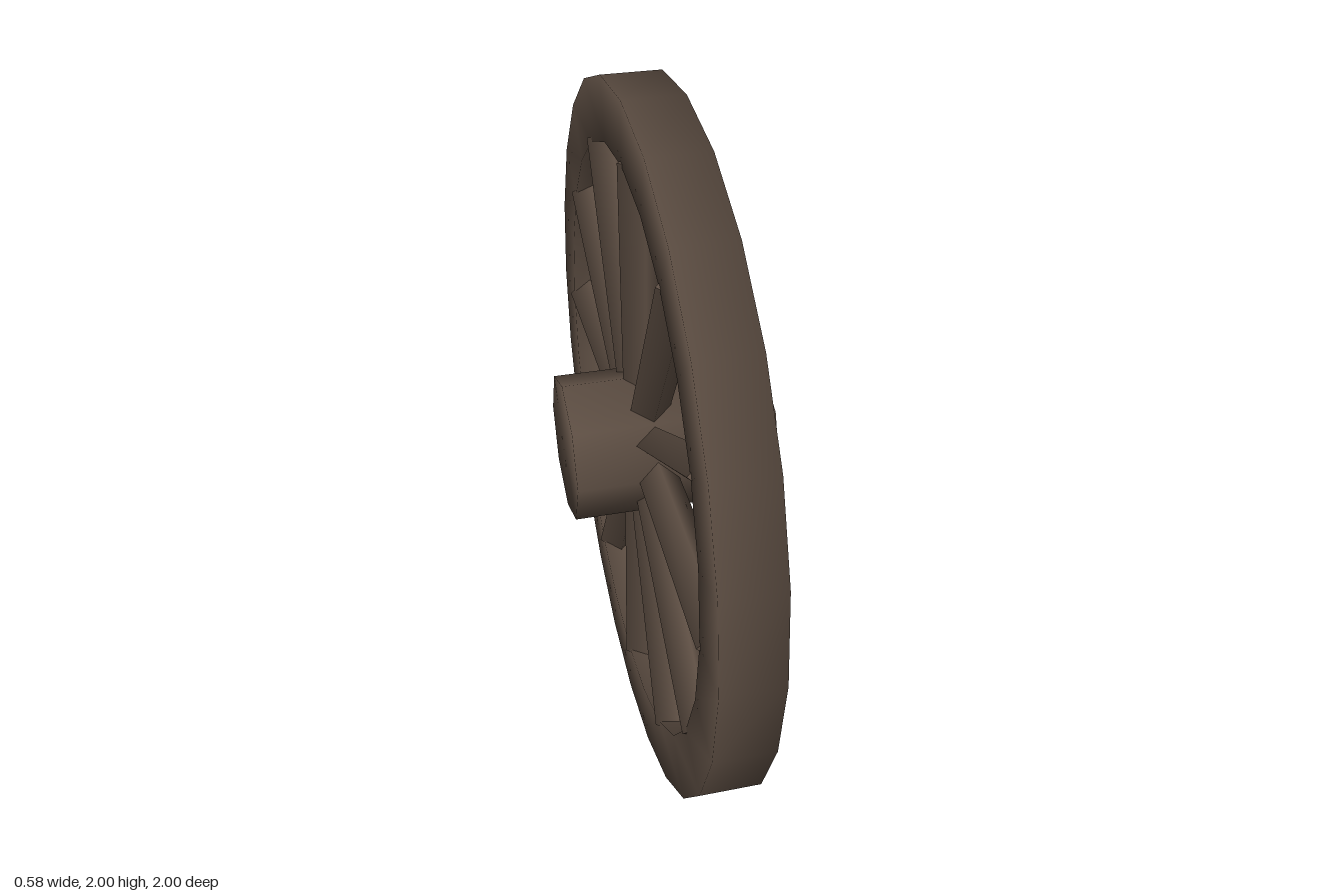
import * as THREE from 'three';

const wood = new THREE.MeshStandardMaterial({ color: 0x5c4d42 });
wood.name = 'dark wood';

// Turned part around the x axis; profile is [radius, x] from low to high x
function turned(name, profile, sides) {
  const geo = new THREE.LatheGeometry(profile.map(([r, x]) => new THREE.Vector2(r, x)), sides);
  geo.rotateZ(-Math.PI / 2);
  const mesh = new THREE.Mesh(geo, wood);
  mesh.name = name;
  return mesh;
}

export function createModel() {
  const model = new THREE.Group();
  model.name = 'wagonWheel';

  const wheel = new THREE.Group();
  wheel.name = 'wheel';
  wheel.position.y = 1;
  wheel.rotation.x = 0.015;
  model.add(wheel);

  // Rim: square section with soft normals, seam hidden in the inner face
  wheel.add(turned('rim', [
    [0.83, -0.04], [0.83, -0.12], [1, -0.12], [1, 0.043], [0.83, 0.043], [0.83, -0.04],
  ], 24));

  // Hub barrel and the axle end that sticks out of it
  wheel.add(turned('hub', [[0, -0.295], [0.205, -0.295], [0.205, 0.08], [0, 0.08]], 8));
  wheel.add(turned('axle', [[0, 0.05], [0.122, 0.05], [0.128, 0.288], [0, 0.288]], 8));

  // Twelve diamond-section spokes
  const spokeGeo = new THREE.CylinderGeometry(0.051, 0.046, 0.69, 4);
  spokeGeo.scale(1.2, 1, 1);
  spokeGeo.translate(-0.07, 0.495, 0);
  const spokes = new THREE.Group();
  spokes.name = 'spokes';
  for (let i = 0; i < 12; i++) {
    const spoke = new THREE.Mesh(spokeGeo, wood);
    spoke.name = 'spoke';
    spoke.rotation.x = (i * Math.PI) / 6;
    spokes.add(spoke);
  }
  wheel.add(spokes);

  return model;
}
